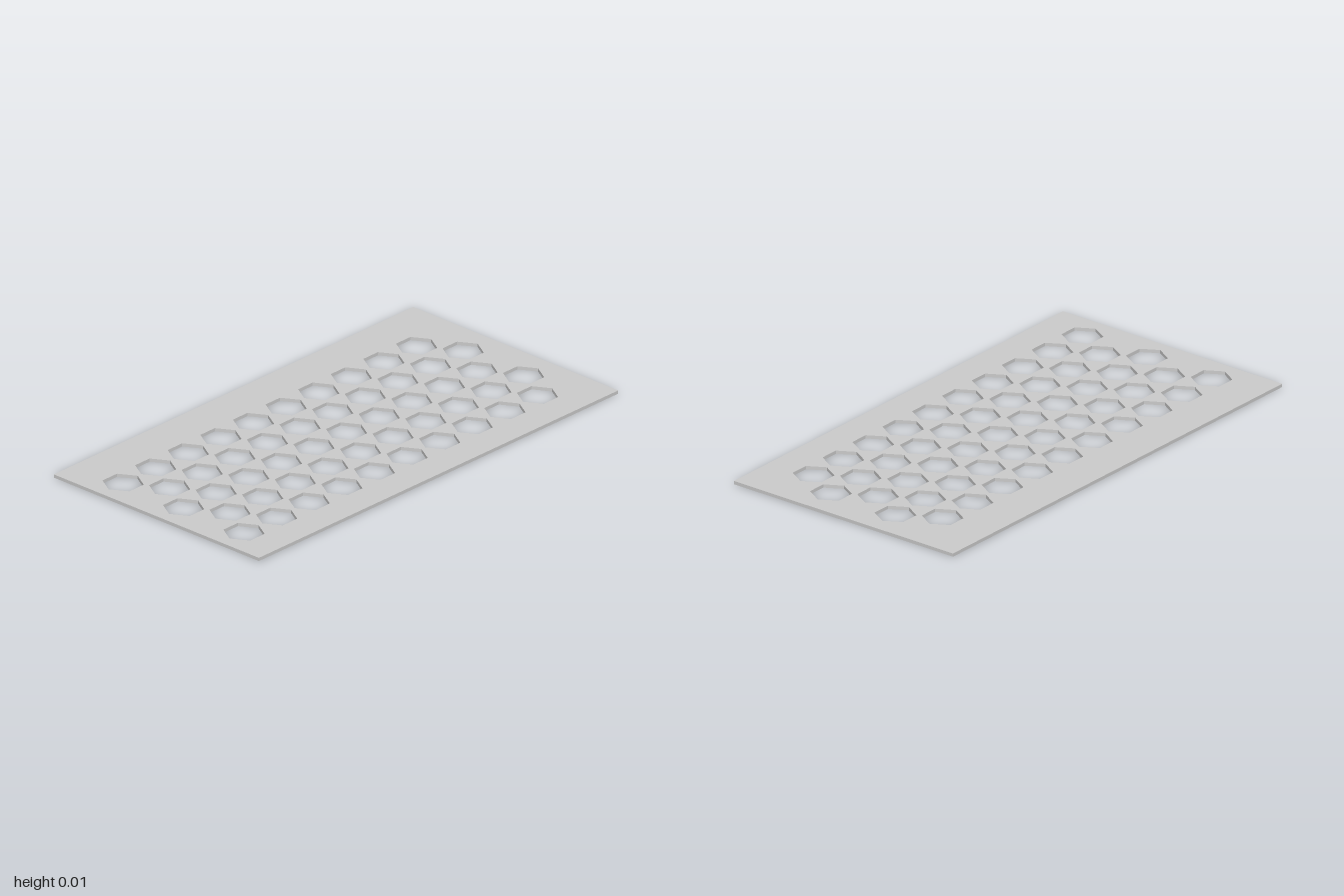
import * as THREE from 'three';

const WIDTH = 2, DEPTH = 1.067, THICKNESS = 0.0135;
const HOLE_RADIUS = 0.0805, PITCH = 0.1815, ROWS = 5, COLUMNS = 10;
const FIRST_X = -0.872, MIDDLE_Z = 0.022;

// Hexagonal opening with points toward +x and -x
function hexagon(cx, cy) {
  const points = [];
  for (let i = 0; i < 6; i++) {
    const a = -i * Math.PI / 3;
    points.push(new THREE.Vector2(cx + HOLE_RADIUS * Math.cos(a), cy + HOLE_RADIUS * Math.sin(a)));
  }
  return new THREE.Path(points);
}

export function createModel() {
  const group = new THREE.Group();
  group.name = 'perforatedPanel';

  // Rectangular sheet outline
  const w = WIDTH / 2, d = DEPTH / 2;
  const sheet = new THREE.Shape([
    new THREE.Vector2(-w, -d), new THREE.Vector2(w, -d),
    new THREE.Vector2(w, d), new THREE.Vector2(-w, d),
  ]);

  // Staggered rows of holes; every second row shifts half a pitch
  const rowStep = PITCH * Math.sqrt(3) / 2;
  for (let row = 0; row < ROWS; row++) {
    const z = MIDDLE_Z + (row - (ROWS - 1) / 2) * rowStep;
    for (let col = 0; col < COLUMNS; col++) {
      sheet.holes.push(hexagon(FIRST_X + (col + (row % 2) / 2) * PITCH, -z));
    }
  }

  // Extrude and lay flat on the ground
  const geometry = new THREE.ExtrudeGeometry(sheet, { depth: THICKNESS, bevelEnabled: false });
  geometry.rotateX(-Math.PI / 2);
  const plate = new THREE.Mesh(geometry, new THREE.MeshStandardMaterial({ color: 0xcccccc }));
  plate.name = 'honeycombPlate';
  group.add(plate);
  return group;
}
